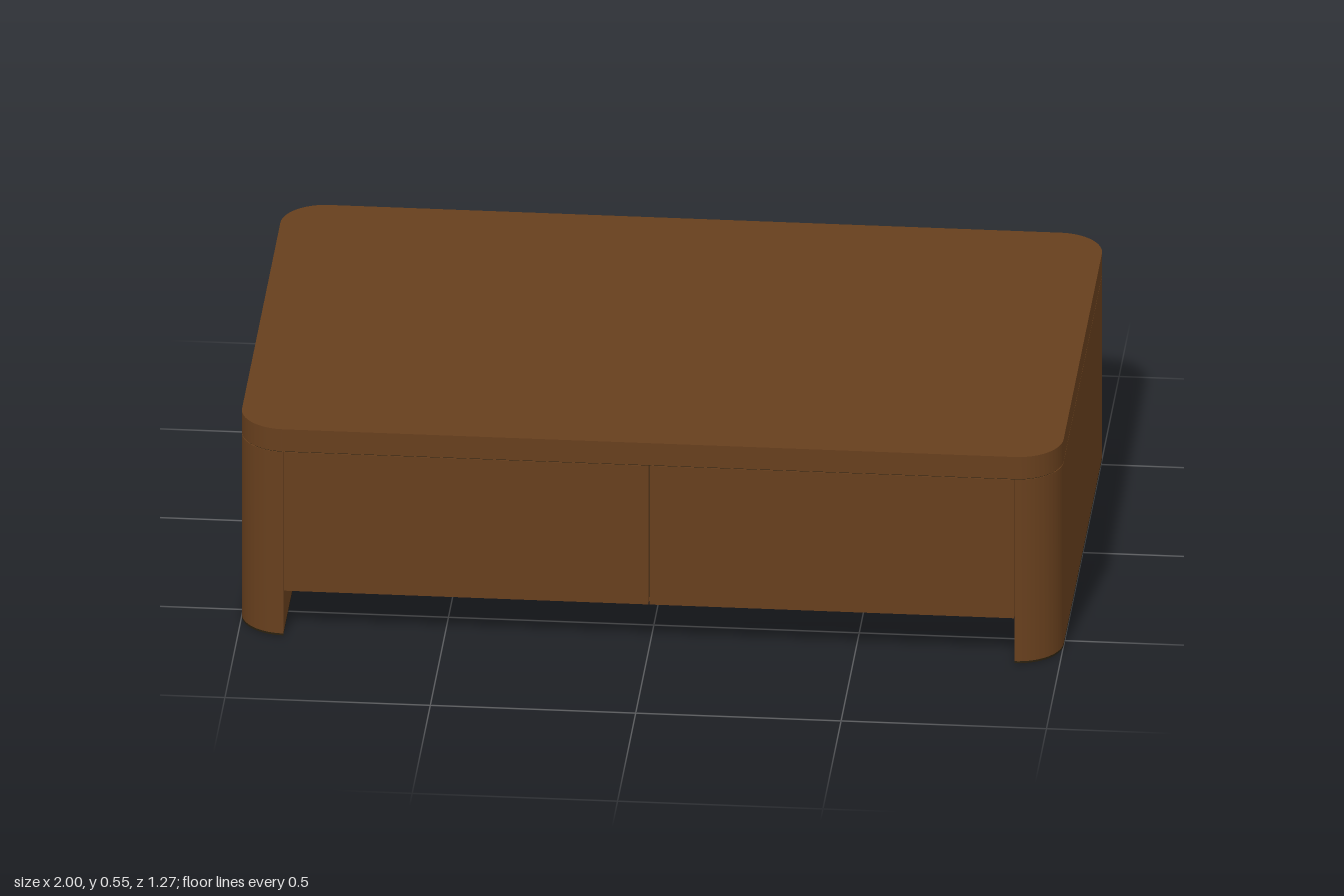
import * as THREE from 'three';
import { toCreasedNormals } from 'three/addons/utils/BufferGeometryUtils.js';

const W = 1, D = 0.637, R = 0.11;      // half width, half depth, corner radius
const TOP = 0.553, SEAM = 0.494, UNDER = 0.12, GAP = 0.002, PAD = 0.005;

// Stand a floor-plan outline up between two heights, smooth round the corners
function plate(shape, y0, y1) {
  const geo = new THREE.ExtrudeGeometry(shape, { depth: y1 - y0, bevelEnabled: false, curveSegments: 16 });
  geo.rotateX(-Math.PI / 2).translate(0, y0, 0);
  return toCreasedNormals(geo, 0.5);
}

// Floor plan from x0 to the left edge with rounded outer corners
function sidePlan(x0) {
  const s = new THREE.Shape();
  s.moveTo(x0, -D);
  s.absarc(W - R, -D + R, R, -Math.PI / 2, 0, false);
  s.absarc(W - R, D - R, R, 0, Math.PI / 2, false);
  s.lineTo(x0, D);
  s.closePath();
  return s;
}

// Full rounded rectangle, optionally set in from the edge
function fullPlan(inset) {
  const s = new THREE.Shape();
  const r = R - inset;
  s.absarc(W - R, -D + R, r, -Math.PI / 2, 0, false);
  s.absarc(W - R, D - R, r, 0, Math.PI / 2, false);
  s.absarc(-W + R, D - R, r, Math.PI / 2, Math.PI, false);
  s.absarc(-W + R, -D + R, r, Math.PI, Math.PI * 1.5, false);
  s.closePath();
  return s;
}

function material(name, color) {
  const m = new THREE.MeshStandardMaterial({ color });
  m.name = name;
  return m;
}

export function createModel() {
  const group = new THREE.Group();
  const wood = material('dark wood', 0x673f1d);
  const shadow = material('blackened wood', 0x29200f);

  function add(name, geo, mat) {
    const mesh = new THREE.Mesh(geo, mat);
    mesh.name = name;
    group.add(mesh);
    return mesh;
  }
  function box(name, mat, w, h, d, x, y, z) {
    add(name, new THREE.BoxGeometry(w, h, d).translate(x, y, z), mat);
  }

  // Table top, with a dark joint filling the seam below it
  add('tableTop', plate(fullPlan(0), SEAM, TOP), wood);
  add('topJoint', plate(fullPlan(0.002), SEAM - GAP, SEAM), shadow);

  // Slab sides on dark foot pads, the second pair turned half round
  const inner = W - R;
  const sideGeo = plate(sidePlan(inner), PAD, SEAM - GAP);
  const padGeo = plate(sidePlan(inner), 0, PAD);
  for (const [side, turn] of [['left', 0], ['right', Math.PI]]) {
    add(`${side}Side`, sideGeo, wood).rotation.y = turn;
    add(`${side}FootPad`, padGeo, shadow).rotation.y = turn;
  }

  // Dark cabinet core behind the drawer fronts, closed by a wooden floor
  const front = 0.02, floor = 0.01;
  const coreH = SEAM - GAP - UNDER - floor, coreD = (D - front) * 2;
  box('cabinetCore', shadow, inner * 2, coreH, coreD, 0, UNDER + floor + coreH / 2, 0);
  box('cabinetFloor', wood, inner * 2, floor, coreD, 0, UNDER + floor / 2, 0);

  // Two drawer fronts on each long face, with hairline gaps round them
  const dw = inner - GAP * 1.5, dh = SEAM - GAP - UNDER;
  for (const z of [1, -1]) {
    for (const x of [1, -1]) {
      box(`${z > 0 ? 'front' : 'back'}${x > 0 ? 'Left' : 'Right'}Drawer`, wood,
        dw, dh, front, x * inner / 2, UNDER + dh / 2, z * (D - front / 2));
    }
  }
  return group;
}
